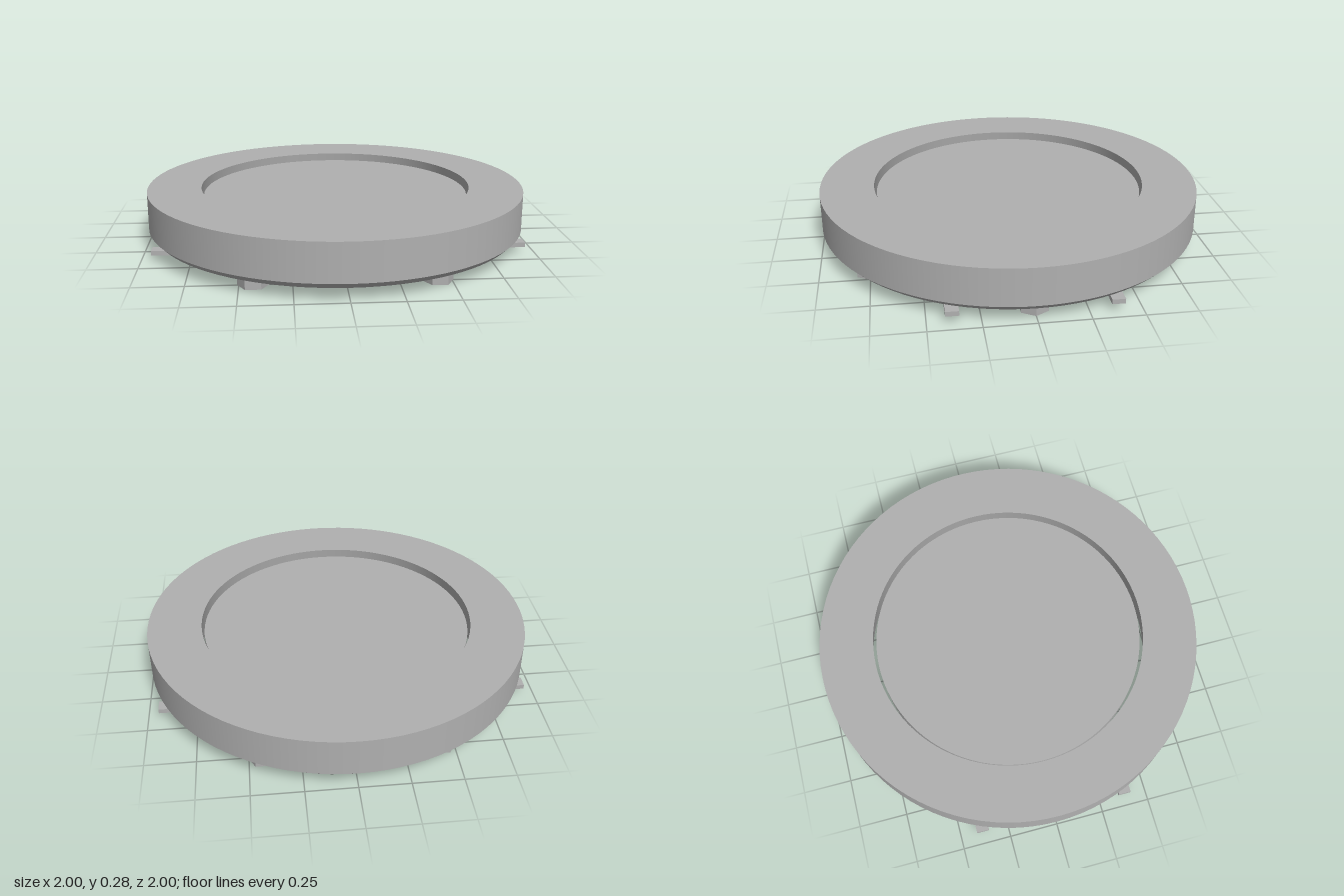
import * as THREE from 'three';
import { mergeGeometries } from 'three/addons/utils/BufferGeometryUtils.js';

const grey = new THREE.MeshStandardMaterial({ color: 0xb0b0b0 });
grey.name = 'grey';

// Revolves each profile edge separately so corners stay sharp and walls smooth
function turned(profile) {
  const bands = [];
  for (let i = 0; i < profile.length - 1; i++) {
    const pts = [profile[i], profile[i + 1]].map(([r, y]) => new THREE.Vector2(r, y));
    bands.push(new THREE.LatheGeometry(pts, 96));
  }
  return mergeGeometries(bands);
}

export function createModel() {
  const model = new THREE.Group();
  const add = (name, geometry, x = 0, y = 0, z = 0) => {
    const mesh = new THREE.Mesh(geometry, grey);
    mesh.name = name;
    mesh.position.set(x, y, z);
    model.add(mesh);
  };

  // Outer ring: chamfered lower edge, bore widening downwards
  add('outerRing', turned([
    [0.75, 0.06], [0.97, 0.06], [1, 0.09], [1, 0.285], [0.717, 0.285], [0.75, 0.06],
  ]));

  // Recessed centre disc, separated from the ring by a narrow gap
  const discR = 0.705;
  add('centreDisc', turned([[0, 0.155], [discR, 0.155], [discR, 0.245], [0, 0.245]]));

  // Stepped plate below the disc, cut along a chord
  const chord = Math.asin(0.15 / discR);
  const shape = new THREE.Shape();
  shape.absarc(0, 0, discR, Math.PI - chord, 2 * Math.PI + chord, false);
  const plate = new THREE.ExtrudeGeometry(shape, { depth: 0.05, bevelEnabled: false, curveSegments: 72 });
  plate.rotateX(Math.PI / 2);
  add('lowerPlate', plate, 0, 0.16, 0);

  // Long and short rails on the underside
  for (const z of [-0.39, 0.39]) add('longRail', new THREE.BoxGeometry(1.19, 0.02, 0.02), 0, 0.102, z);
  for (const z of [-0.2, 0, 0.2]) add('shortRail', new THREE.BoxGeometry(0.21, 0.02, 0.015), -0.59, 0.102, z);

  // Six hexagonal bolt feet
  const hex = new THREE.CylinderGeometry(0.075, 0.075, 0.06, 6, 1, false, Math.PI / 2).toNonIndexed();
  hex.computeVertexNormals();
  for (let i = 0; i < 6; i++) {
    const a = i * Math.PI / 3;
    add('boltFoot', hex, 0.865 * Math.cos(a), 0.03, 0.865 * Math.sin(a));
  }

  // Four flat tabs reaching past the rim
  const tab = new THREE.BoxGeometry(0.17, 0.024, 0.064);
  for (const sx of [-1, 1]) for (const sz of [-1, 1]) add('tab', tab, sx * 0.86, 0.048, sz * 0.383);

  return model;
}
